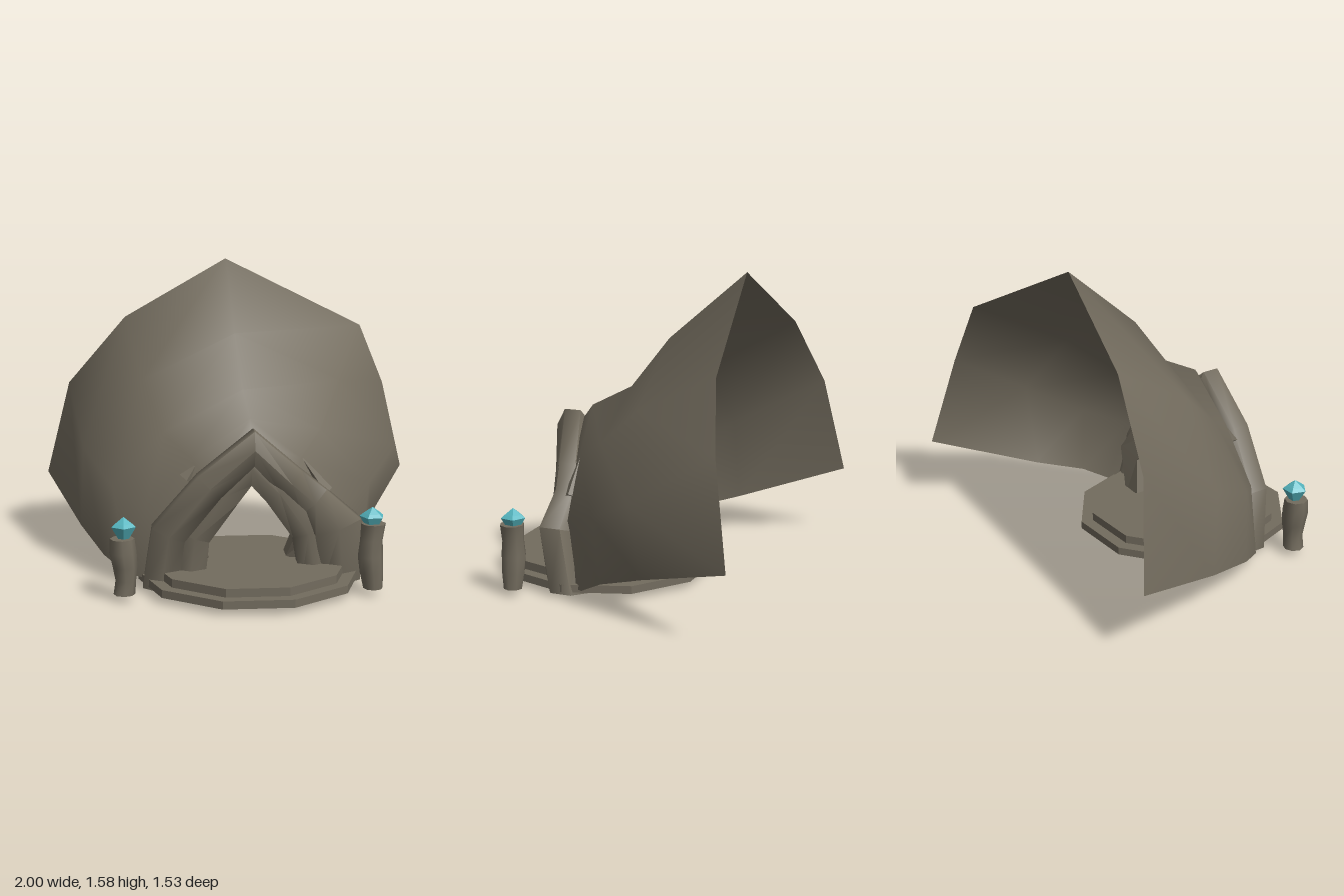
import * as THREE from 'three';
import { toCreasedNormals } from 'three/addons/utils/BufferGeometryUtils.js';

const stone = new THREE.MeshStandardMaterial({ color: 0x736c5e, side: THREE.DoubleSide });
stone.name = 'stone';
const teal = new THREE.MeshStandardMaterial({ color: 0x55b5bf });
teal.name = 'teal crystal';

// Surface through equal rows of points; closed joins each row's ends
function skin(rows, closed) {
  const n = rows[0].length, pos = rows.flat(2), idx = [];
  for (let i = 0; i < rows.length - 1; i++) {
    for (let j = 0; j < (closed ? n : n - 1); j++) {
      const k = (j + 1) % n;
      const a = i * n + j, b = i * n + k, c = (i + 1) * n + k, d = (i + 1) * n + j;
      idx.push(a, b, c, a, c, d);
    }
  }
  const g = new THREE.BufferGeometry();
  g.setAttribute('position', new THREE.Float32BufferAttribute(pos, 3));
  g.setIndex(idx);
  g.computeVertexNormals();
  return g;
}

// Arch swept along [x, y, z, halfWidth, halfDepth] stations, open at the feet
function arch(path, sides, crease) {
  const rows = path.map((p, i) => {
    const a = path[Math.max(i - 1, 0)], b = path[Math.min(i + 1, path.length - 1)];
    const len = Math.hypot(b[0] - a[0], b[1] - a[1]);
    const nx = -(b[1] - a[1]) / len, ny = (b[0] - a[0]) / len;
    return Array.from({ length: sides }, (_, j) => {
      const t = ((j + 0.5) / sides) * Math.PI * 2;
      const u = Math.cos(t) * p[3], v = Math.sin(t) * p[4];
      return [p[0] + nx * u, Math.max(0, p[1] + ny * u), p[2] + v];
    });
  });
  return toCreasedNormals(skin(rows, true), crease);
}

export function createModel() {
  const model = new THREE.Group();
  const add = (name, geo, mat = stone, x = 0, y = 0, z = 0) => {
    const m = new THREE.Mesh(geo, mat);
    m.name = name;
    m.position.set(x, y, z);
    model.add(m);
    return m;
  };
  const flat = (g) => {
    const f = g.toNonIndexed();
    f.computeVertexNormals();
    return f;
  };

  // Two-step ten-sided platform
  for (const [name, r, h, y] of [['lowerStep', 0.562, 0.04, 0.052], ['upperStep', 0.5, 0.043, 0.093]]) {
    const g = new THREE.CylinderGeometry(r, r, h, 10);
    g.rotateY(Math.PI / 10);
    add(name, flat(g), stone, 0.045, y, 0.233);
  }

  // Flaring hood, from inside the front arch out to the ragged rim
  add('hood', skin([
    [[-0.41, 0.05, 0.33], [-0.37, 0.32, 0.35], [-0.17, 0.56, 0.38], [0.05, 0.76, 0.38], [0.25, 0.54, 0.34], [0.46, 0.33, 0.29], [0.53, 0.04, 0.22]],
    [[-0.57, 0.06, 0.25], [-0.48, 0.4, 0.28], [-0.25, 0.66, 0.29], [0.04, 0.86, 0.31], [0.3, 0.65, 0.27], [0.54, 0.39, 0.22], [0.6, 0.05, 0.13]],
    [[-0.69, 0.12, 0.09], [-0.64, 0.48, 0.12], [-0.38, 0.76, 0.12], [0.02, 0.97, 0.1], [0.42, 0.76, 0.1], [0.69, 0.46, 0.03], [0.66, 0.12, 0]],
    [[-0.81, 0.2, -0.21], [-0.79, 0.63, -0.18], [-0.48, 0.99, -0.13], [0, 1.23, -0.1], [0.55, 0.97, -0.15], [0.87, 0.6, -0.23], [0.74, 0.2, -0.25]],
    [[-1, 0.37, -0.76], [-0.87, 0.89, -0.67], [-0.56, 1.26, -0.59], [-0.02, 1.58, -0.5], [0.73, 1.2, -0.61], [0.87, 0.87, -0.66], [1, 0.37, -0.76]],
  ], false));

  // Three nested arches: rounded front, rounded inner, blocky rear
  add('frontArch', arch([
    [-0.41, 0.01, 0.32, 0.1, 0.09], [-0.37, 0.3, 0.36, 0.1, 0.1], [-0.17, 0.55, 0.41, 0.09, 0.09],
    [0.05, 0.74, 0.42, 0.1, 0.09], [0.24, 0.55, 0.34, 0.09, 0.09], [0.36, 0.44, 0.3, 0.1, 0.09],
    [0.48, 0.31, 0.3, 0.14, 0.11], [0.51, 0.01, 0.24, 0.11, 0.11],
  ], 6, 1.1));
  add('innerArch', arch([
    [-0.27, 0.01, 0.32, 0.09, 0.08], [-0.24, 0.28, 0.34, 0.09, 0.08], [-0.09, 0.5, 0.37, 0.09, 0.07],
    [0.04, 0.64, 0.37, 0.11, 0.08], [0.18, 0.5, 0.34, 0.09, 0.07], [0.33, 0.28, 0.29, 0.09, 0.08],
    [0.38, 0.01, 0.25, 0.09, 0.08],
  ], 6, 1.1));
  add('rearArch', arch([
    [-0.21, 0.1, 0.13, 0.08, 0.08], [-0.29, 0.3, 0.19, 0.11, 0.11], [-0.14, 0.55, 0.26, 0.1, 0.11],
    [0.04, 0.68, 0.28, 0.11, 0.11], [0.22, 0.55, 0.25, 0.1, 0.11], [0.37, 0.3, 0.19, 0.11, 0.11],
    [0.29, 0.1, 0.13, 0.08, 0.08],
  ], 4, 0.1));

  // Thin stone splinters on the arch shoulders
  for (const [x, y, z, h, tilt] of [[0.36, 0.57, 0.26, 0.24, 0.6], [-0.25, 0.6, 0.31, 0.09, -0.6]]) {
    add('splinter', flat(new THREE.ConeGeometry(0.04, h, 4)), stone, x, y, z).rotation.z = tilt;
  }

  // Crooked posts carrying faceted crystals
  for (const [x, h, phase] of [[-0.59, 0.28, 0], [0.63, 0.33, 2]]) {
    const g = new THREE.CylinderGeometry(0.064, 0.053, h, 8, 4);
    const p = g.attributes.position;
    for (let i = 0; i < p.count; i++) {
      const t = p.getY(i) / h + 0.5;
      const k = 1 - 0.1 * Math.sin(t * 7 + phase);
      p.setXYZ(i, p.getX(i) * k + 0.008 * Math.sin(t * 5 + phase), p.getY(i), p.getZ(i) * k);
    }
    add('post', toCreasedNormals(g, 0.9), stone, x, 0.033 + h / 2, 0.485);
    const profile = [[0, -0.06], [0.028, -0.055], [0.063, 0.005], [0.045, 0.02], [0, 0.052]];
    const crystal = new THREE.LatheGeometry(profile.map((q) => new THREE.Vector2(...q)), 5);
    add('crystal', flat(crystal), teal, x, h + 0.063 + (x < 0 ? 0.025 : 0), 0.48).rotation.y = phase;
  }

  return model;
}
